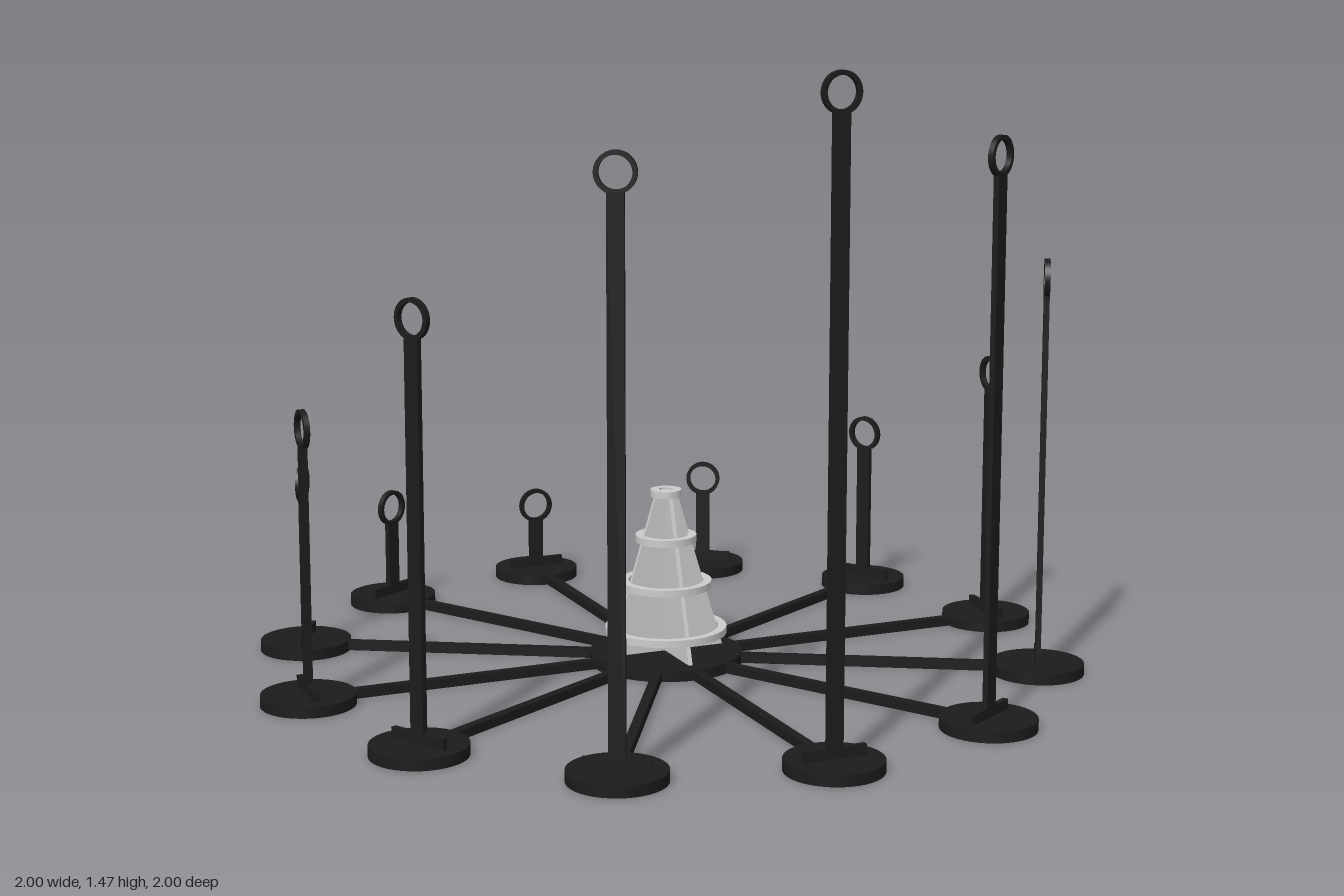
import * as THREE from 'three';

const BASE = 0.026;      // thickness of the floor parts
const REACH = 0.89;      // distance from hub to each foot
const PLATE = 0.013;     // thickness of the upright plates

// Mesh with a name
function part(name, geometry, material) {
  const mesh = new THREE.Mesh(geometry, material);
  mesh.name = name;
  return mesh;
}

// Shape extruded along z and centred on z = 0
function plate(shape, thickness) {
  const g = new THREE.ExtrudeGeometry(shape, { depth: thickness, bevelEnabled: false, curveSegments: 32 });
  return g.translate(0, 0, -thickness / 2);
}

// Flat upright: wide foot, narrow stem and a ring on top
function uprightShape(height) {
  const r = 0.045, w = 0.0185, foot = 0.074, footTop = 0.05;
  const cy = height - r, a = Math.asin(w / r);
  const s = new THREE.Shape();
  s.moveTo(-foot, BASE - 0.004);
  s.lineTo(foot, BASE - 0.004);
  s.lineTo(foot, footTop);
  s.lineTo(w, footTop);
  s.lineTo(w, cy - r * Math.cos(a));
  s.absarc(0, cy, r, -Math.PI / 2 + a, Math.PI * 1.5 - a, false);
  s.lineTo(-w, footTop);
  s.lineTo(-foot, footTop);
  s.closePath();
  const eye = new THREE.Path();
  eye.absarc(0, cy, 0.035, 0, Math.PI * 2, true);
  s.holes.push(eye);
  return s;
}

// Flat horizontal ring
function flatRing(outer, inner, height) {
  const s = new THREE.Shape();
  s.absarc(0, 0, outer, 0, Math.PI * 2, false);
  const hole = new THREE.Path();
  hole.absarc(0, 0, inner, 0, Math.PI * 2, true);
  s.holes.push(hole);
  return plate(s, height).rotateX(-Math.PI / 2);
}

export function createModel() {
  const model = new THREE.Group();
  const black = new THREE.MeshStandardMaterial({ color: 0x1c1c1c });
  const grey = new THREE.MeshStandardMaterial({ color: 0xcccccc });

  // Central hub disc
  const hub = part('hub', new THREE.CylinderGeometry(0.184, 0.184, BASE, 48), black);
  hub.position.y = BASE / 2;
  model.add(hub);

  // Twelve arms, tallest at the front, falling to the back on both sides
  const heights = [1.47, 1.315, 0.992, 0.685, 0.46, 0.3, 0.24];
  for (let i = 0; i < 12; i++) {
    const arm = new THREE.Group();
    arm.name = 'arm';
    const spoke = part('spoke', new THREE.BoxGeometry(0.022, BASE - 0.004, REACH - 0.1), black);
    spoke.position.set(0, BASE / 2, 0.1 + (REACH - 0.1) / 2);
    const foot = part('footDisc', new THREE.CylinderGeometry(0.11, 0.11, BASE, 40), black);
    foot.position.set(0, BASE / 2, REACH);
    const upright = part('upright', plate(uprightShape(heights[Math.min(i, 12 - i)]), PLATE), black);
    upright.position.z = REACH;
    arm.add(spoke, foot, upright);
    arm.rotation.y = i * Math.PI / 6;
    model.add(arm);
  }

  // Central tower: two crossed tapering plates
  const tower = new THREE.Group();
  tower.name = 'tower';
  const y0 = BASE, y1 = 0.42;
  const radiusAt = (y) => 0.147 - 0.122 * (y - y0) / (y1 - y0);
  const taper = new THREE.Shape([
    new THREE.Vector2(-radiusAt(y0), y0), new THREE.Vector2(radiusAt(y0), y0),
    new THREE.Vector2(radiusAt(y1), y1), new THREE.Vector2(-radiusAt(y1), y1),
  ]);
  for (let i = 0; i < 2; i++) {
    const panel = part('crossPanel', plate(taper, 0.01), grey);
    panel.rotation.y = i * Math.PI / 2;
    tower.add(panel);
  }

  // Rings resting around the tower
  for (const [y, r] of [[0.08, 0.146], [0.193, 0.11], [0.305, 0.073], [0.415, 0.037]]) {
    const ring = part('towerRing', flatRing(r, r - 0.02, 0.017), grey);
    ring.position.y = y;
    tower.add(ring);
  }
  model.add(tower);
  return model;
}
